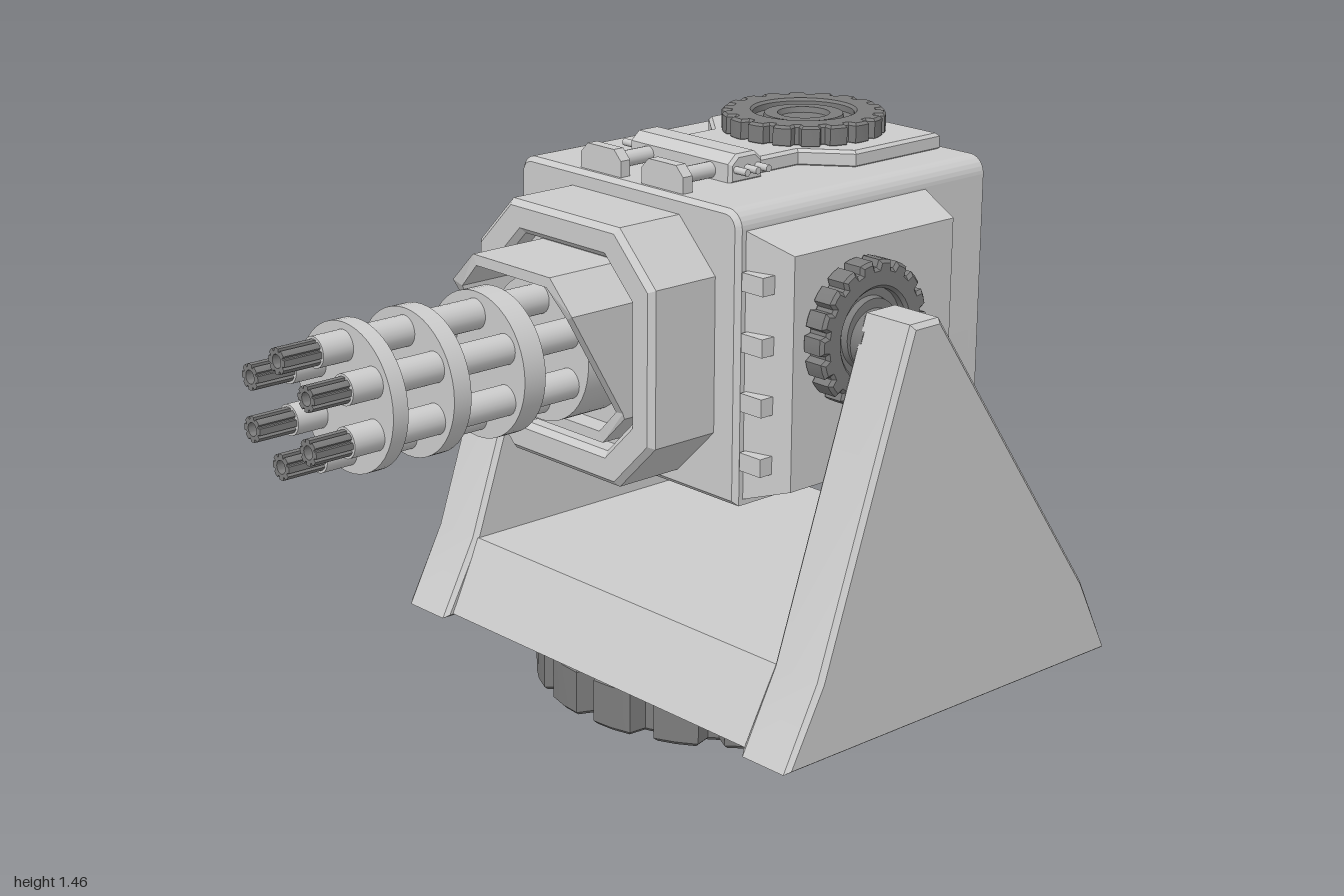
import * as THREE from 'three';
import { toCreasedNormals } from 'three/addons/utils/BufferGeometryUtils.js';

const CX = -0.033;  // centre line of head, gun and gears
const GUN_Y = 1.005;
const grey = new THREE.MeshStandardMaterial({ color: 0xcccccc, side: THREE.DoubleSide });
const dark = new THREE.MeshStandardMaterial({ color: 0x7c7c7c, side: THREE.DoubleSide });

function add(parent, name, geometry, material = grey, x = 0, y = 0, z = 0) {
  const mesh = new THREE.Mesh(geometry, material);
  mesh.name = name;
  mesh.position.set(x, y, z);
  parent.add(mesh);
  return mesh;
}

const poly = (pts) => new THREE.Shape(pts.map(([x, y]) => new THREE.Vector2(x, y)));

// Extrusion from z = 0 to z = depth whose bevel stays inside the outline
function extrude(shape, depth, bevel = 0) {
  const g = new THREE.ExtrudeGeometry(shape, {
    depth: depth - 2 * bevel, bevelEnabled: bevel > 0, bevelSize: bevel,
    bevelThickness: bevel, bevelOffset: -bevel, bevelSegments: 1, curveSegments: 20,
  });
  g.translate(0, 0, bevel);
  return toCreasedNormals(g, 0.5);
}

// Profile given as (z, y), extruded across x and centred there
const across = (pts, width, bevel) =>
  extrude(poly(pts), width, bevel).translate(0, 0, -width / 2).rotateY(-Math.PI / 2);

// Octagon with half width h and corner cut c
function octagon(h, c) {
  const k = h - c;
  return [[h, -k], [h, k], [k, h], [-k, h], [-h, k], [-h, -k], [-k, -h], [k, -h]];
}

function gearShape(R, root, teeth, hole) {
  const pts = [];
  for (let i = 0; i < teeth; i++) {
    for (const [f, r] of [[-0.32, R], [0, R * 1.003], [0.32, R], [0.42, root], [0.58, root]]) {
      const a = ((i + f) / teeth) * Math.PI * 2;
      pts.push([Math.cos(a) * r, Math.sin(a) * r]);
    }
  }
  const shape = poly(pts);
  if (hole) shape.holes.push(new THREE.Path().absarc(0, 0, hole, 0, Math.PI * 2, true));
  return shape;
}

// Toothed wheel facing +z with a stepped, recessed hub
function gear(name, R, depth) {
  const g = new THREE.Group();
  g.name = name;
  add(g, 'toothedRim', extrude(gearShape(R, R * 0.9, 18, R * 0.62), depth, depth * 0.12), dark);
  const hub = [[0.64, 0], [0.64, 0.6], [0.5, 0.6], [0.48, 0.85], [0.32, 0.85], [0.3, 0.6], [0, 0.6]]
    .map(([r, h]) => new THREE.Vector2(r * R, h * depth));
  const hubGeo = toCreasedNormals(new THREE.LatheGeometry(hub, 40).rotateX(Math.PI / 2), 0.5);
  add(g, 'hub', hubGeo, dark);
  return g;
}

function buildStand(model) {
  const stand = new THREE.Group();
  stand.name = 'stand';
  const arm = [[0.145, 0.12], [0.04, 0.32], [-0.235, 1.13], [-0.33, 1.13], [-0.895, 0.33], [-1, 0.12]];
  for (const s of [-1, 1]) {
    add(stand, s > 0 ? 'leftArm' : 'rightArm', across(arm, 0.16, 0.012), grey, s * 0.635);
  }
  // Stub reaching from the arm on the narrow side to its gear
  add(stand, 'axleBlock', across([[-0.184, 0.98], [-0.235, 1.13], [-0.33, 1.13], [-0.436, 0.98]], 0.08, 0), grey, -0.53);
  add(stand, 'crossbeam', across([[0.12, 0.13], [0.03, 0.32], [-0.9, 0.32], [-0.98, 0.13]], 1.13, 0));
  const base = extrude(gearShape(0.52, 0.475, 18), 0.13, 0.01).rotateX(-Math.PI / 2);
  add(stand, 'baseGear', base, dark, CX, 0, -0.405);
  model.add(stand);
}

function roundedTop(x0, x1, y0, y1, r) {
  const s = new THREE.Shape();
  s.moveTo(x0, y0).lineTo(x1, y0).lineTo(x1, y1 - r);
  s.absarc(x1 - r, y1 - r, r, 0, Math.PI / 2, false);
  s.lineTo(x0 + r, y1);
  s.absarc(x0 + r, y1 - r, r, Math.PI / 2, Math.PI, false);
  s.closePath();
  return s;
}

function buildHead(model) {
  const head = new THREE.Group();
  head.name = 'head';
  add(head, 'housing', extrude(roundedTop(-0.425, 0.36, 0.645, 1.365, 0.045), 0.82, 0.012), grey, 0, 0, -0.84);
  // Raised rim around the recessed back
  const rim = roundedTop(-0.425, 0.36, 0.645, 1.365, 0.045);
  rim.holes.push(roundedTop(-0.403, 0.338, 0.667, 1.343, 0.03));
  add(head, 'backRim', extrude(rim, 0.04), grey, 0, 0, -0.86);

  // Tapered side panel with hinge tabs
  const panel = new THREE.BoxGeometry(0.145, 0.67, 0.615);
  const p = panel.attributes.position;
  for (let i = 0; i < p.count; i++) {
    if (p.getX(i) > 0) p.setXYZ(i, p.getX(i), p.getY(i) * 0.855, p.getZ(i) * 0.87);
  }
  panel.computeVertexNormals();
  add(head, 'sidePanel', panel, grey, 0.4125, 0.988, -0.347);
  for (const y of [0.76, 0.907, 1.053, 1.2]) {
    add(head, 'hingeTab', new THREE.BoxGeometry(0.07, 0.045, 0.045), grey, 0.4, y, -0.05);
  }

  // Pivot gears on both sides
  for (const s of [-1, 1]) {
    const g = gear('pivotGear', 0.178, 0.066);
    g.rotation.y = s * Math.PI / 2;
    g.position.set(s > 0 ? 0.485 : -0.424, 1.063, -0.285);
    head.add(g);
    add(head, 'axle', new THREE.CylinderGeometry(0.075, 0.075, 0.1, 32).rotateZ(Math.PI / 2), dark,
      s > 0 ? 0.525 : -0.46, 1.05, -0.285);
  }

  // Roof plate (shape y is -z) and its gear
  const plate = [[-0.262, 0.54], [-0.153, 0.45], [-0.153, 0.32], [0.153, 0.32], [0.153, 0.45],
    [0.262, 0.54], [0.262, 0.84], [-0.262, 0.84]];
  add(head, 'roofPlate', extrude(poly(plate), 0.045, 0.008).rotateX(-Math.PI / 2), grey, CX, 1.36, 0);
  const top = gear('roofGear', 0.206, 0.055);
  top.rotation.x = -Math.PI / 2;
  top.position.set(CX, 1.4, -0.62);
  head.add(top);

  // Roof cylinder with end pins, rods and front brackets
  const roller = [[-0.195, 1.36], [-0.195, 1.41], [-0.22, 1.432], [-0.28, 1.432], [-0.305, 1.41], [-0.305, 1.36]];
  add(head, 'roofRoller', across(roller, 0.36, 0.008), grey, CX);
  for (const z of [-0.285, -0.25, -0.215]) {
    add(head, 'rollerPin', new THREE.CylinderGeometry(0.009, 0.009, 0.44, 10).rotateZ(Math.PI / 2), grey, CX, 1.395, z);
  }
  for (const s of [-1, 1]) {
    const x = CX + s * 0.11;
    add(head, 'roofRod', new THREE.CylinderGeometry(0.02, 0.02, 0.16, 16).rotateX(Math.PI / 2), grey, x, 1.387, -0.13);
    const bracket = [[-0.073, 0], [0.073, 0], [0.073, 0.045], [0.048, 0.07], [-0.048, 0.07], [-0.073, 0.045]];
    add(head, 'roofBracket', extrude(poly(bracket), 0.03), grey, x, 1.36, -0.07);
  }
  model.add(head);
}

function buildGun(model) {
  const gun = new THREE.Group();
  gun.name = 'gun';
  gun.position.set(CX, GUN_Y, 0);

  // Octagonal collar with a recessed face
  const collar = poly(octagon(0.317, 0.125));
  add(gun, 'collarBase', extrude(collar, 0.15), grey, 0, 0, -0.03);
  const ring = poly(octagon(0.317, 0.125));
  ring.holes.push(poly(octagon(0.238, 0.09)));
  add(gun, 'collarRing', extrude(ring, 0.08, 0.014), grey, 0, 0, 0.1);

  // Shroud: octagonal tube whose front slopes back below the top
  const outline = (h, c) => {
    const o = octagon(h, c);
    o.splice(5, 0, [-h, -0.125]);
    o.splice(1, 0, [h, -0.125]);
    return o;
  };
  const tube = poly(outline(0.218, 0.078));
  tube.holes.push(poly(outline(0.192, 0.064)));
  const shroud = new THREE.ExtrudeGeometry(tube, { depth: 0.2, bevelEnabled: false });
  const p = shroud.attributes.position;
  for (let i = 0; i < p.count; i++) {
    const slope = 0.18 + (p.getY(i) + 0.125) * 0.585;
    p.setZ(i, p.getZ(i) > 0.1 ? THREE.MathUtils.clamp(slope, 0.175, 0.335) : 0.1);
  }
  shroud.computeVertexNormals();
  add(gun, 'shroud', shroud);

  // Rotor and the bands that hold the barrels
  const disc = (name, z0, z1) => add(gun, name,
    new THREE.CylinderGeometry(0.177, 0.177, z1 - z0, 48).rotateX(Math.PI / 2), grey, 0, 0, (z0 + z1) / 2);
  disc('rotor', 0.1, 0.25);
  disc('barrelBand', 0.38, 0.442);
  disc('barrelBand', 0.598, 0.647);
  disc('barrelBand', 0.776, 0.818);

  // Six barrels with fluted, hollow muzzles
  const barrel = new THREE.CylinderGeometry(0.037, 0.037, 0.67, 24).rotateX(Math.PI / 2);
  const muzzle = extrude(gearShape(0.031, 0.024, 8, 0.016), 0.12);
  for (let i = 0; i < 6; i++) {
    const a = Math.PI / 2 + (i * Math.PI) / 3;
    const x = Math.cos(a) * 0.123, y = Math.sin(a) * 0.123;
    add(gun, 'barrel', barrel, grey, x, y, 0.565);
    add(gun, 'muzzle', muzzle, dark, x, y, 0.88);
  }
  model.add(gun);
}

export function createModel() {
  const model = new THREE.Group();
  model.name = 'turret';
  buildStand(model);
  buildHead(model);
  buildGun(model);
  return model;
}
